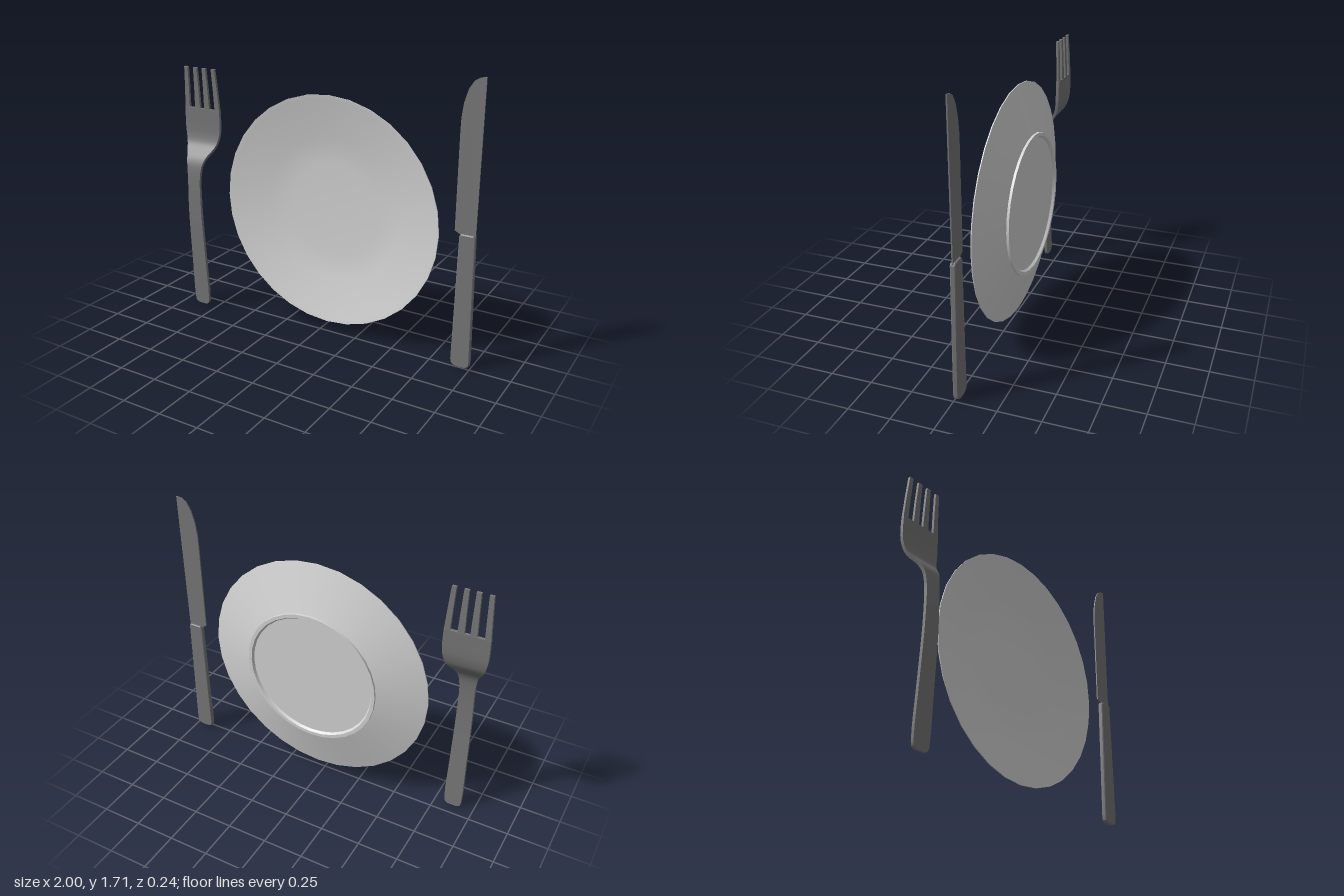
import * as THREE from 'three';
import { toCreasedNormals } from 'three/addons/utils/BufferGeometryUtils.js';

const CREASE = 0.55;

// Rectangular bar lofted through sections { y, z, xl, xr }, with constant thickness.
function bar(sections, thickness) {
  const pos = [], idx = [], n = sections.length, h = thickness / 2;
  sections.forEach((s, i) => {
    const a = sections[Math.max(i - 1, 0)], b = sections[Math.min(i + 1, n - 1)];
    const dy = b.y - a.y, dz = b.z - a.z, len = Math.hypot(dy, dz);
    const ny = (-dz / len) * h, nz = (dy / len) * h;
    pos.push(s.xl, s.y + ny, s.z + nz, s.xr, s.y + ny, s.z + nz);
    pos.push(s.xr, s.y - ny, s.z - nz, s.xl, s.y - ny, s.z - nz);
    if (i === n - 1) return;
    for (let k = 0; k < 4; k++) {
      const p = i * 4 + k, q = i * 4 + ((k + 1) % 4);
      idx.push(p, q, q + 4, p, q + 4, p + 4);
    }
  });
  const t = (n - 1) * 4;
  idx.push(0, 2, 1, 0, 3, 2, t, t + 1, t + 2, t, t + 2, t + 3);
  const g = new THREE.BufferGeometry();
  g.setAttribute('position', new THREE.Float32BufferAttribute(pos, 3));
  g.setIndex(idx);
  return toCreasedNormals(g, CREASE);
}

function outline(points) {
  return new THREE.Shape(points.map(([x, y]) => new THREE.Vector2(x, y)));
}

export function createModel() {
  const model = new THREE.Group();
  const china = new THREE.MeshStandardMaterial({ name: 'pale grey china', color: 0xd6d6d6 });
  const steel = new THREE.MeshStandardMaterial({ name: 'dark grey steel', color: 0x787878 });
  const add = (parent, name, geometry, material) => {
    const mesh = new THREE.Mesh(geometry, material);
    mesh.name = name;
    parent.add(mesh);
    return mesh;
  };

  // Plate: revolved from the back centre, over the foot ring and rim, to the front centre
  const profile = [
    [0, -0.106], [0.4, -0.106], [0.41, -0.121], [0.432, -0.121], [0.432, -0.106],
    [0.725, -0.022], [0.725, -0.016], [0.7, -0.02], [0.45, -0.085], [0.3, -0.094], [0, -0.096],
  ].map(([r, z]) => new THREE.Vector2(r, z));
  const plateGeometry = toCreasedNormals(new THREE.LatheGeometry(profile, 32), CREASE);
  plateGeometry.rotateX(Math.PI / 2);
  add(model, 'plate', plateGeometry, china).position.set(0.04, 0.78, 0);

  // Fork
  const fork = new THREE.Group();
  fork.name = 'fork';
  fork.position.x = -0.866;
  model.add(fork);

  // Handle and neck: half width, height, depth
  const spine = [
    [0.03, 0, 0.077], [0.048, 0.012, 0.078], [0.055, 0.04, 0.079], [0.053, 0.35, 0.095],
    [0.05, 0.6, 0.108], [0.048, 0.75, 0.11], [0.047, 0.88, 0.106], [0.055, 0.96, 0.097],
    [0.066, 1.0, 0.082], [0.079, 1.03, 0.062], [0.1, 1.065, 0.03], [0.115, 1.1, 0.008],
    [0.128, 1.15, -0.005], [0.134, 1.2, -0.009], [0.133, 1.32, -0.01],
  ].map((p) => new THREE.Vector3(...p));
  const body = new THREE.CatmullRomCurve3(spine)
    .getPoints((spine.length - 1) * 3)
    .map((p) => ({ y: p.y, z: p.z, xl: -p.x, xr: p.x }));
  add(fork, 'forkBody', bar(body, 0.019), steel);

  // Tines: inner and outer edges at the base, then at the tip
  const tines = [[0.016, 0.056, 0.02, 0.047], [0.098, 0.133, 0.09, 0.116]];
  for (const [bi, bo, ti, to] of tines) {
    for (const side of [-1, 1]) {
      const section = (y, z, t) => {
        const a = side * THREE.MathUtils.lerp(bi, ti, t);
        const b = side * THREE.MathUtils.lerp(bo, to, t);
        return { y, z, xl: Math.min(a, b), xr: Math.max(a, b) };
      };
      const rows = [section(1.318, -0.01, 0), section(1.45, -0.005, 0.5), section(1.58, 0.003, 1)];
      add(fork, 'forkTine', bar(rows, 0.016), steel);
    }
  }

  // Knife
  const knife = new THREE.Group();
  knife.name = 'knife';
  model.add(knife);

  const blade = outline([
    [0.985, 0.8], [0.99, 1.705], [0.955, 1.7], [0.925, 1.682], [0.895, 1.635],
    [0.873, 1.56], [0.863, 1.48], [0.861, 1.4], [0.861, 0.838], [0.895, 0.82], [0.895, 0.8],
  ].reverse());
  const bladeGeometry = new THREE.ExtrudeGeometry(blade, { depth: 0.008, bevelEnabled: false });
  add(knife, 'knifeBlade', toCreasedNormals(bladeGeometry, CREASE), steel).position.z = -0.016;

  const handle = outline([
    [0.881, 0.04], [0.886, 0.018], [0.9, 0.005], [0.922, 0], [0.958, 0], [0.98, 0.005],
    [0.995, 0.018], [0.999, 0.04], [0.986, 0.81], [0.976, 0.825], [0.902, 0.825], [0.892, 0.81],
  ]);
  const handleGeometry = new THREE.ExtrudeGeometry(handle, {
    depth: 0.022, bevelThickness: 0.005, bevelSize: 0.005, bevelOffset: -0.005, bevelSegments: 1,
  });
  add(knife, 'knifeHandle', toCreasedNormals(handleGeometry, CREASE), steel).position.z = -0.023;

  return model;
}
